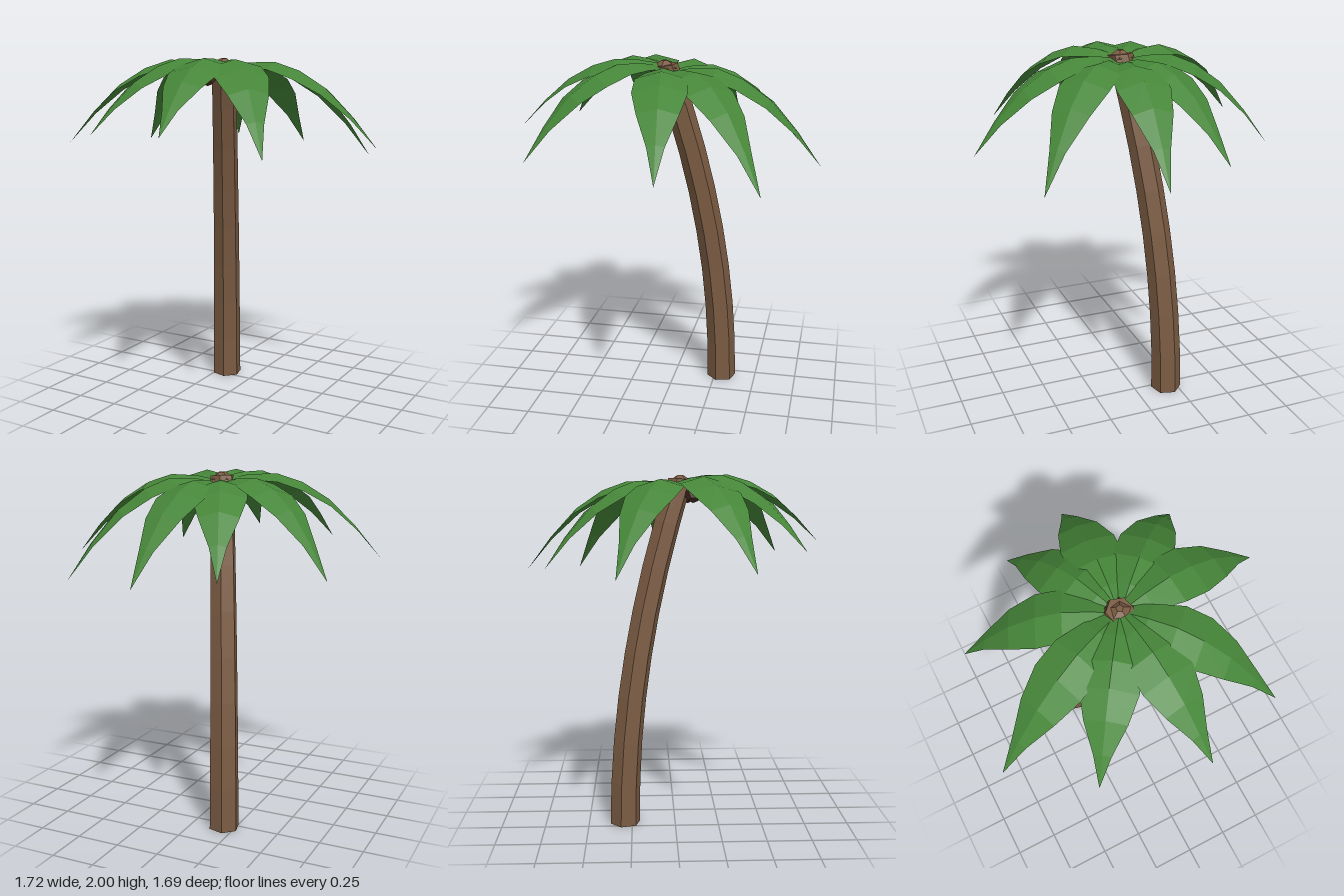
import * as THREE from 'three';

const trunkMat = new THREE.MeshStandardMaterial({ name: 'bark brown', color: 0x7a5b42, flatShading: true });
const nutMat = new THREE.MeshStandardMaterial({ name: 'coconut brown', color: 0x4a2f22, flatShading: true });
const leafMat = new THREE.MeshStandardMaterial({ name: 'leaf green', color: 0x468639, flatShading: true, side: THREE.DoubleSide });

const CROWN = { x: -0.02, z: 0.035 };
const TRUNK_H = 1.97;

function part(name, geometry, material) {
  const flat = geometry.index ? geometry.toNonIndexed() : geometry;
  flat.computeVertexNormals();
  const mesh = new THREE.Mesh(flat, material);
  mesh.name = name;
  return mesh;
}

// Six-sided trunk, bent along a parabola from its foot to the crown
function trunkGeometry() {
  const g = new THREE.CylinderGeometry(0.07, 0.088, TRUNK_H, 6, 8);
  g.rotateY(THREE.MathUtils.degToRad(14.5));
  g.translate(0, TRUNK_H / 2, 0);
  const p = g.attributes.position;
  for (let i = 0; i < p.count; i++) {
    const x = p.getX(i), y = p.getY(i), z = p.getZ(i);
    const t = y / TRUNK_H;
    const tilt = t * (t > 0.99 ? 0.1 : 0.33);
    p.setXYZ(i,
      x - 0.187 + (CROWN.x + 0.187) * t * t,
      y - (z + x * 0.5) * tilt,
      z - 0.29 + (CROWN.z + 0.29) * t * t);
  }
  return g;
}

// Leaf sections: fraction of length, half width, fraction of the drop to the tip
const SECTIONS = [
  [0, 0.045, 0.08], [0.17, 0.095, 0.02], [0.34, 0.14, 0.01], [0.5, 0.145, 0.11],
  [0.67, 0.108, 0.31], [0.84, 0.045, 0.63], [1, 0, 1],
];

// Arched leaf with a raised midrib, from the crown to its tip
function frondGeometry(tipX, tipY, tipZ) {
  const dx = tipX - CROWN.x, dz = tipZ - CROWN.z;
  const length = Math.hypot(dx, dz);
  const ux = dx / length, uz = dz / length;
  const top = 1.982 + 0.018 * uz;
  const pos = [], index = [];
  SECTIONS.forEach(([u, half, drop], k) => {
    for (let j = -1; j <= 1; j++) {
      pos.push(
        CROWN.x + dx * u + uz * half * j,
        top - (top - tipY) * drop - Math.abs(j) * half * 0.28,
        CROWN.z + dz * u - ux * half * j);
    }
    if (k === 0) return;
    for (let j = 0; j < 2; j++) {
      const a = (k - 1) * 3 + j, b = k * 3 + j;
      index.push(a, b, a + 1);
      if (half > 0) index.push(b, b + 1, a + 1);
    }
  });
  const g = new THREE.BufferGeometry();
  g.setAttribute('position', new THREE.Float32BufferAttribute(pos, 3));
  g.setIndex(index);
  return g;
}

export function createModel() {
  const model = new THREE.Group();
  model.name = 'palmTree';
  model.add(part('trunk', trunkGeometry(), trunkMat));

  // Blunt trunk tip showing through the middle of the leaves
  const tip = part('trunkTip', new THREE.CylinderGeometry(0.02, 0.078, 0.04, 5), trunkMat);
  tip.position.set(CROWN.x, 1.972, CROWN.z);
  tip.rotation.y = 0.2;
  model.add(tip);

  // Nine leaves, by tip position
  const fronds = new THREE.Group();
  fronds.name = 'fronds';
  const tips = [
    [0.07, 1.455, -0.85], [0.625, 1.42, -0.585], [0.855, 1.515, -0.095],
    [0.56, 1.52, 0.67], [0.08, 1.62, 0.84], [-0.47, 1.59, 0.685],
    [-0.86, 1.51, 0.375], [-0.77, 1.475, -0.315], [-0.335, 1.495, -0.705],
  ];
  tips.forEach((t) => fronds.add(part('frond', frondGeometry(...t), leafMat)));
  model.add(fronds);

  // Coconuts tucked under the leaves
  const nuts = new THREE.Group();
  nuts.name = 'coconuts';
  [[-0.085, 1.885, 0.105], [0.08, 1.88, 0.075], [0.06, 1.885, -0.025]].forEach(([x, y, z], i) => {
    const nut = part('coconut', new THREE.DodecahedronGeometry(0.046), nutMat);
    nut.position.set(x, y, z);
    nut.rotation.set(i, i * 2, 0.4);
    nuts.add(nut);
  });
  model.add(nuts);
  return model;
}
